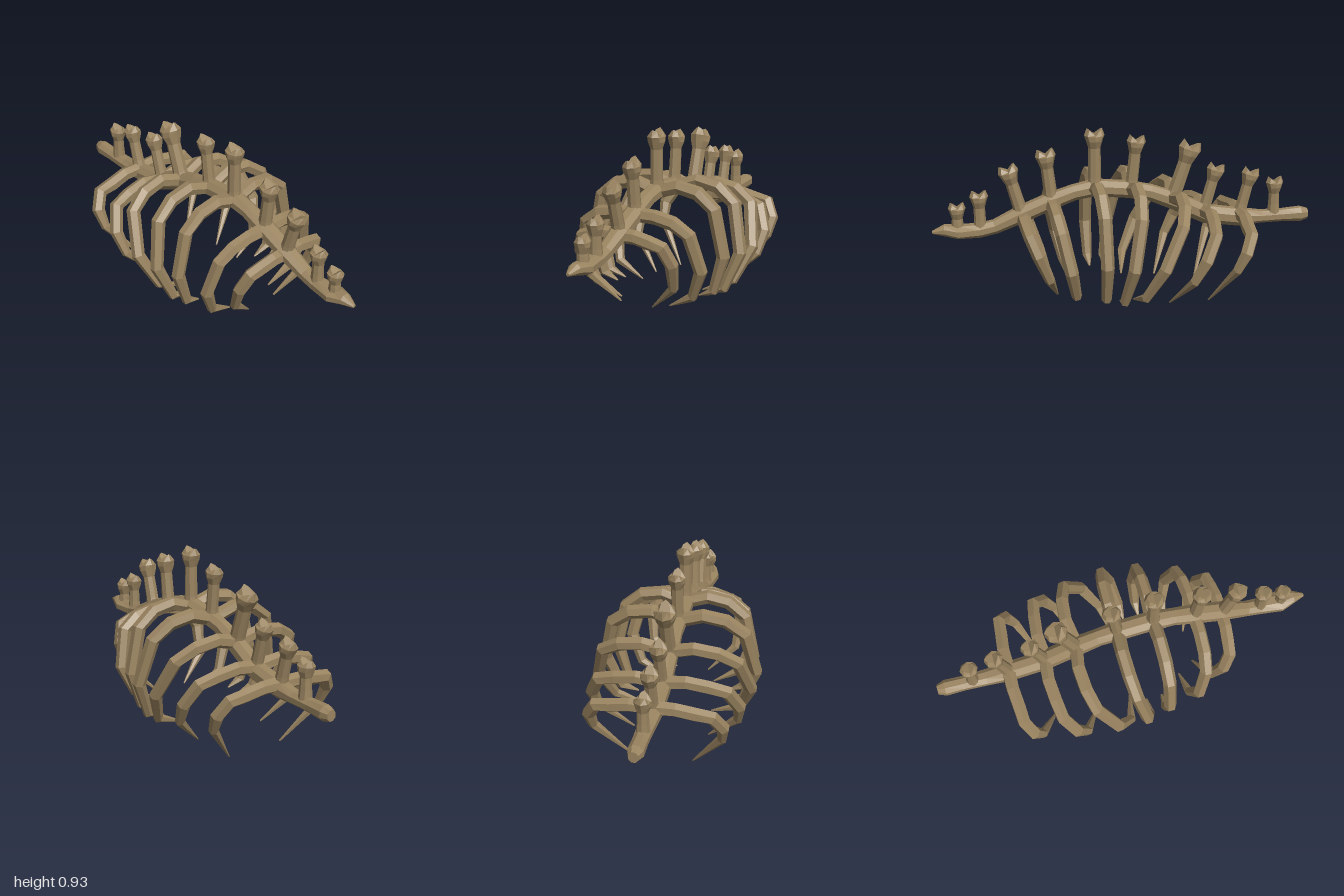
import * as THREE from 'three';

const bone = new THREE.MeshStandardMaterial({ color: 0x9a8460, flatShading: true });
bone.name = 'bone';

// Loft along a planar path. Each ring is [x, y, z, a, b]: a = half size in the
// path's plane, b = half size along the plane normal. fork splits the end in two lobes.
function loft(name, rings, normal, sides = 8, turn = 0.5, fork = 0) {
  const n = normal.clone().normalize();
  const centres = rings.map(r => new THREE.Vector3(r[0], r[1], r[2]));
  const last = rings.length - 1;
  const pos = [], index = [];
  let t;
  rings.forEach((r, i) => {
    t = centres[Math.min(i + 1, last)].clone().sub(centres[Math.max(i - 1, 0)]).normalize();
    const u = n.clone().cross(t).normalize();
    for (let k = 0; k < sides; k++) {
      const ang = (k + turn) / sides * Math.PI * 2;
      const p = centres[i].clone()
        .addScaledVector(u, r[3] * Math.cos(ang))
        .addScaledVector(n, r[4] * Math.sin(ang));
      if (i === last) p.addScaledVector(t, fork * (Math.abs(Math.cos(ang)) - 0.5));
      pos.push(p.x, p.y, p.z);
    }
  });
  for (let i = 0; i < last; i++) {
    for (let k = 0; k < sides; k++) {
      const a = i * sides + k, b = i * sides + (k + 1) % sides;
      index.push(a, b, b + sides, a, b + sides, a + sides);
    }
  }
  // End caps
  const c0 = pos.length / 3, top = last * sides;
  const end = centres[last].clone().addScaledVector(t, -fork * 0.5);
  pos.push(...centres[0].toArray(), ...end.toArray());
  for (let k = 0; k < sides; k++) {
    const k2 = (k + 1) % sides;
    index.push(c0, k2, k, c0 + 1, top + k, top + k2);
  }
  const g = new THREE.BufferGeometry();
  g.setAttribute('position', new THREE.Float32BufferAttribute(pos, 3));
  g.setIndex(index);
  g.computeVertexNormals();
  const mesh = new THREE.Mesh(g, bone);
  mesh.name = name;
  return mesh;
}

const Z = new THREE.Vector3(0, 0, 1);

// Backbone: x, y, half height, half width
const SPINE = [
  [-1, 0.4, 0.03, 0.026], [-0.96, 0.4, 0.042, 0.042], [-0.86, 0.4, 0.035, 0.04],
  [-0.74, 0.4, 0.035, 0.045], [-0.62, 0.405, 0.05, 0.052], [-0.43, 0.435, 0.052, 0.052],
  [-0.26, 0.52, 0.05, 0.052], [-0.13, 0.572, 0.044, 0.046], [-0.02, 0.595, 0.046, 0.052],
  [0.16, 0.615, 0.046, 0.052], [0.27, 0.595, 0.042, 0.046], [0.39, 0.555, 0.046, 0.052],
  [0.54, 0.495, 0.046, 0.052], [0.68, 0.435, 0.038, 0.042], [0.76, 0.42, 0.038, 0.045],
  [0.87, 0.42, 0.036, 0.06], [0.94, 0.432, 0.03, 0.035], [1, 0.424, 0.008, 0.01],
];

// Upright processes: base x, y, top x, y, size
const PROCESSES = [
  [-0.81, 0.41, -0.81, 0.605, 0.85], [-0.62, 0.42, -0.68, 0.66, 0.9],
  [-0.42, 0.44, -0.49, 0.695, 0.9], [-0.25, 0.52, -0.35, 0.82, 1.1],
  [-0.03, 0.59, -0.06, 0.87, 0.9], [0.16, 0.61, 0.16, 0.915, 0.95],
  [0.385, 0.55, 0.415, 0.82, 0.95], [0.54, 0.49, 0.61, 0.745, 0.95],
  [0.755, 0.42, 0.757, 0.62, 0.85], [0.87, 0.42, 0.87, 0.563, 0.8],
];

// Ribs: spine x, y, tip x, y, tip z, arch lift, then widest and knee as [z, y]
const RIBS = [
  [-0.62, 0.43, -0.42, 0.005, 0.16, 0.0, [0.335, 0.32], [0.325, 0.23]],
  [-0.42, 0.45, -0.2, 0.025, 0.2, 0.02, [0.38, 0.31], [0.365, 0.2]],
  [-0.25, 0.53, -0.01, 0.05, 0.18, 0.04, [0.405, 0.29], [0.34, 0.12]],
  [-0.03, 0.59, 0.07, 0.075, 0.24, 0.045, [0.408, 0.3], [0.335, 0.105]],
  [0.16, 0.605, 0.155, 0.085, 0.24, 0.04, [0.375, 0.31], [0.32, 0.12]],
  [0.385, 0.545, 0.285, 0.055, 0.14, 0.0, [0.335, 0.28], [0.275, 0.13]],
  [0.535, 0.48, 0.375, 0.07, 0.09, 0.0, [0.255, 0.35], [0.235, 0.21]],
];

function makeRib([xs, ys, xt, yt, zt, lift, wide, knee], side) {
  const H = ys - yt, W = wide[0];
  const shoulder = wide[1] + (ys + lift - wide[1]) * 0.72;
  const path = [
    [0, ys, 0.036, 0.04], [W * 0.33, ys + lift, 0.037, 0.036],
    [W * 0.62, ys + lift - 0.02, 0.038, 0.036], [W * 0.86, shoulder, 0.037, 0.035],
    [...wide, 0.035, 0.034], [...knee, 0.026, 0.026], [zt, yt, 0.004, 0.005],
  ];
  const rings = path.map(([z, y, a, b]) =>
    [xs + (xt - xs) * (ys - y) / H, y, z * side, a, b]);
  return loft(side > 0 ? 'frontRib' : 'backRib', rings, new THREE.Vector3(H, xt - xs, 0), 6, 0.5);
}

function makeProcess([x0, y0, x1, y1, s]) {
  const len = Math.hypot(x1 - x0, y1 - y0);
  // distance below the top, half size across x, half size across z
  const profile = [
    [len, 0.042, 0.042], [len - 0.06, 0.036, 0.036], [0.09 * s, 0.034, 0.034],
    [0.05 * s, 0.046, 0.05], [0.022 * s, 0.056, 0.05], [0, 0.042, 0.026],
  ];
  const rings = profile.map(([d, a, b]) => {
    const f = 1 - d / len;
    return [x0 + (x1 - x0) * f, y0 + (y1 - y0) * f, 0, a * s, b * s];
  });
  return loft('spinalProcess', rings, Z, 8, 0, 0.035 * s);
}

export function createModel() {
  const model = new THREE.Group();
  model.name = 'ribcage';
  model.add(loft('backbone', SPINE.map(([x, y, h, w]) => [x, y, 0, h, w]), Z));

  const processes = new THREE.Group();
  processes.name = 'spinalProcesses';
  PROCESSES.forEach(p => processes.add(makeProcess(p)));

  const ribs = new THREE.Group();
  ribs.name = 'ribs';
  RIBS.forEach(r => ribs.add(makeRib(r, 1), makeRib(r, -1)));

  model.add(processes, ribs);
  return model;
}
